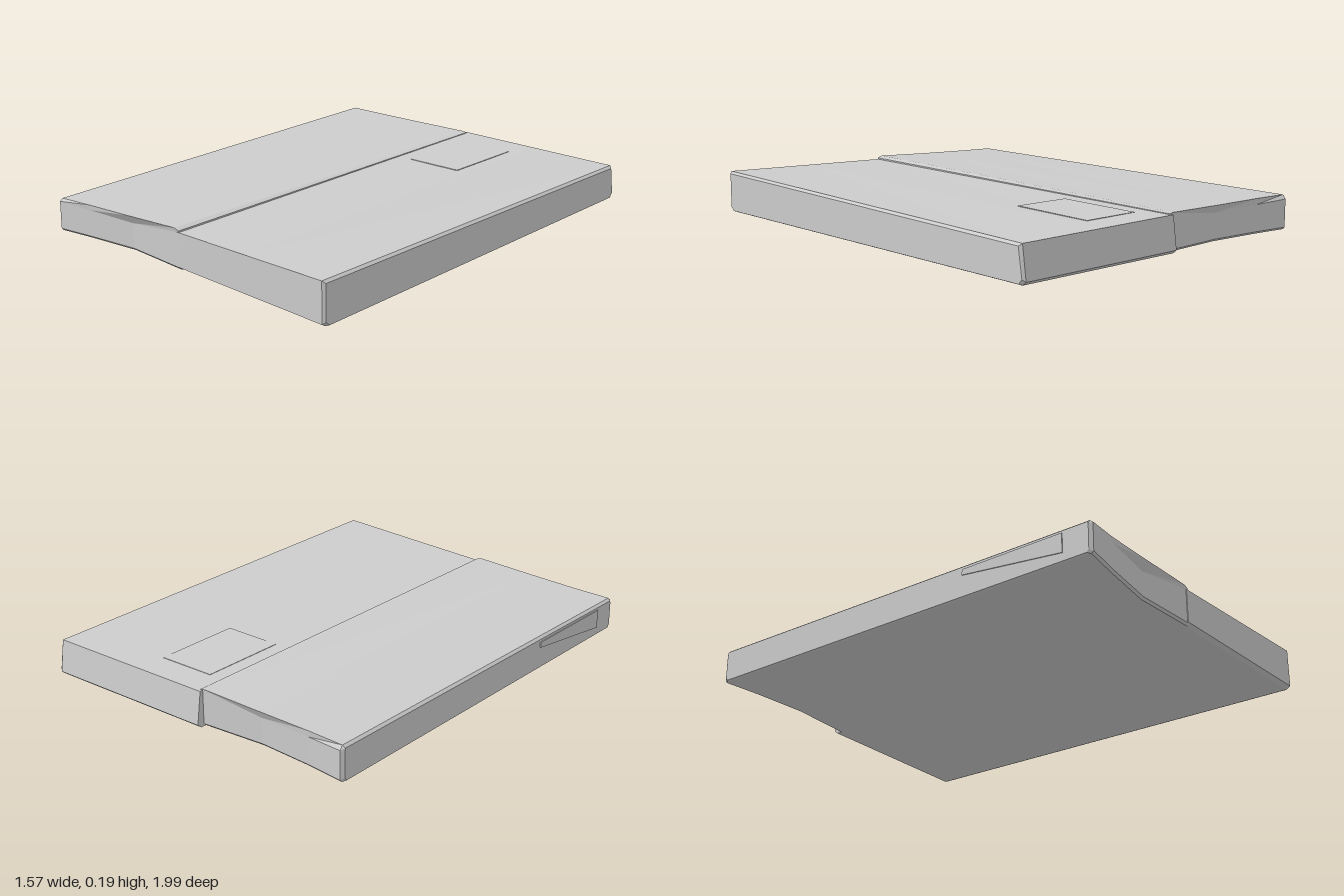
import * as THREE from 'three';

// Closed solid from cross-sections along x; each is { x, loop: [[z, y], ...] }
// with loops running up the front, back over the top and down the rear.
function loft(sections) {
  const pos = [];
  const tri = (...pts) => pts.forEach((p) => pos.push(...p));
  const rings = sections.map(({ x, loop }) => loop.map(([z, y]) => [x, y, z]));
  const n = rings[0].length;
  for (let s = 0; s < rings.length - 1; s++) {
    const a = rings[s], b = rings[s + 1];
    for (let i = 0; i < n; i++) {
      const j = (i + 1) % n;
      tri(a[i], b[i], b[j]);
      tri(a[i], b[j], a[j]);
    }
  }
  // End caps
  [[rings[0], false], [rings[rings.length - 1], true]].forEach(([r, flip]) => {
    const c = [0, 1, 2].map((k) => r.reduce((sum, p) => sum + p[k], 0) / n);
    for (let i = 0; i < n; i++) {
      const j = (i + 1) % n;
      if (flip) tri(c, r[j], r[i]);
      else tri(c, r[i], r[j]);
    }
  });
  const g = new THREE.BufferGeometry();
  g.setAttribute('position', new THREE.Float32BufferAttribute(pos, 3));
  g.computeVertexNormals();
  return g;
}

// Thick half: front edge zf, front and back top heights
const thick = (x, zf, hf, hb, inset = 0) => ({
  x,
  loop: [
    [zf - 0.02 - inset, inset * 0.5], [zf - inset, 0.012 + inset],
    [zf - inset, hf - inset], [-0.978 + inset, hb - inset],
    [-0.998 + inset, 0.015 + inset], [-0.98 + inset, inset * 0.5],
  ],
});

// Thin half: top edges at zf / zb overhang a recessed wall at rf / rb below height m
const thin = (x, zf, rf, zb, rb, m, hf, hb, inset = 0) => ({
  x,
  loop: [
    [rf - 0.01 - inset, inset * 0.5], [rf - inset, 0.01 + inset], [rf - inset, m - inset],
    [zf - inset, hf - inset], [zb + inset, hb - inset],
    [rb + inset, m - inset], [rb + inset, 0.01 + inset], [rb + 0.01 + inset, inset * 0.5],
  ],
});

export function createModel() {
  const model = new THREE.Group();
  model.name = 'slab';
  const grey = new THREE.MeshStandardMaterial({ color: 0xcccccc });
  grey.name = 'light grey';
  const add = (name, geometry) => {
    const mesh = new THREE.Mesh(geometry, grey);
    mesh.name = name;
    model.add(mesh);
  };

  // Two halves meeting at a stepped seam
  add('leftHalf', loft([
    thick(-0.05, 0.952, 0.163, 0.157),
    thick(0.35, 0.972, 0.174, 0.157),
    thick(0.772, 0.993, 0.186, 0.157),
    thick(0.784, 0.993, 0.186, 0.157, 0.01),
  ]));
  add('rightHalf', loft([
    thin(-0.784, 0.965, 0.968, -0.975, -0.978, 0.134, 0.145, 0.152, 0.01),
    thin(-0.772, 0.958, 0.972, -0.968, -0.982, 0.134, 0.145, 0.152),
    thin(-0.6, 0.952, 0.95, -0.964, -0.962, 0.128, 0.152, 0.155),
    thin(-0.35, 0.952, 0.925, -0.964, -0.945, 0.122, 0.163, 0.158),
    thin(-0.065, 0.952, 0.948, -0.964, -0.962, 0.16, 0.178, 0.163),
    thin(-0.04, 0.952, 0.95, -0.964, -0.964, 0.158, 0.17, 0.16),
  ]));

  // Flush square patch on the top of the thick half
  const patch = (x, hf, hb) => ({
    x,
    loop: [[-0.44, hf - 0.003], [-0.44, hf], [-0.84, hb], [-0.84, hb - 0.003]],
  });
  add('topPatch', loft([patch(0.03, 0.1605, 0.1589), patch(0.3, 0.1632, 0.1595)]));

  // Thin plate on the outer side
  const plate = (x) => ({
    x,
    loop: [[0.84, 0.04], [0.84, 0.125], [0.36, 0.125], [0.36, 0.1]],
  });
  add('sidePlate', loft([plate(-0.788), plate(-0.78)]));

  return model;
}
